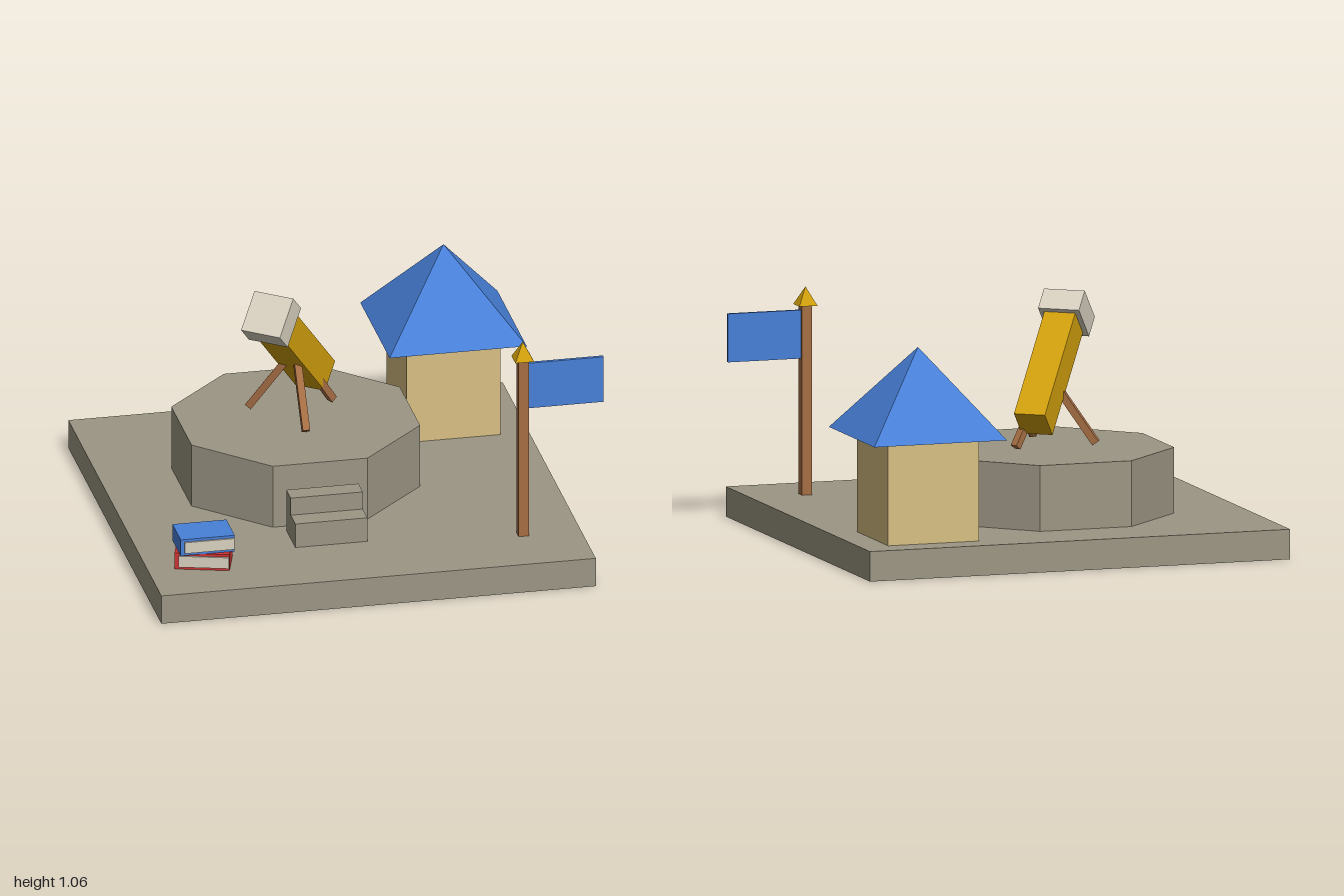
import * as THREE from 'three';

const mat = (name, color, side = THREE.FrontSide) => {
  const m = new THREE.MeshStandardMaterial({ color, side });
  m.name = name;
  return m;
};

export function createModel() {
  const root = new THREE.Group();
  root.name = 'observatoryCourt';

  const stone = mat('stone', 0x9c9684, THREE.DoubleSide);
  const blue = mat('blue', 0x4880d8);
  const tan = mat('tan', 0xd8c084);
  const gold = mat('gold', 0xd2a00c);
  const wood = mat('wood', 0xa66e44);
  const red = mat('red', 0xd03434);
  const cream = mat('cream', 0xd8d1c0);

  const add = (name, geometry, material, x, y, z, parent = root) => {
    const mesh = new THREE.Mesh(geometry, material);
    mesh.name = name;
    mesh.position.set(x, y, z);
    parent.add(mesh);
    return mesh;
  };
  const box = (name, material, w, h, d, x, y, z, parent) =>
    add(name, new THREE.BoxGeometry(w, h, d), material, x, y, z, parent);
  // Four-sided pyramid with a base of width w standing at height y
  const pyramid = (name, material, w, h, x, y, z) => {
    const g = new THREE.ConeGeometry(w / Math.SQRT2, h, 4, 1).rotateY(Math.PI / 4).toNonIndexed();
    g.computeVertexNormals();
    return add(name, g, material, x, y + h / 2, z);
  };

  // Ground slab, hollow underneath (bottom face removed)
  const slab = new THREE.BoxGeometry(1.9, 0.13, 1.9);
  const faces = Array.from(slab.index.array);
  faces.splice(18, 6);
  slab.setIndex(faces);
  slab.clearGroups();
  add('groundSlab', slab, stone, -0.05, 0.065, 0);

  // Octagonal platform and its two steps
  const cx = -0.175, cz = -0.16;
  const octagon = new THREE.CylinderGeometry(0.541, 0.541, 0.285, 8)
    .rotateY(Math.PI / 8).toNonIndexed();
  octagon.computeVertexNormals();
  add('platform', octagon, stone, cx, 0.2725, cz);
  box('lowerStep', stone, 0.315, 0.11, 0.095, cx, 0.185, 0.5225);
  box('upperStep', stone, 0.315, 0.19, 0.09, cx, 0.225, 0.43);

  // Hut with pyramid roof
  box('hutWalls', tan, 0.41, 0.445, 0.41, 0.57, 0.3525, -0.62);
  pyramid('hutRoof', blue, 0.6, 0.375, 0.57, 0.575, -0.62);

  // Flagpole
  box('flagPole', wood, 0.045, 0.825, 0.045, 0.648, 0.5425, 0.635);
  pyramid('poleFinial', gold, 0.082, 0.08, 0.648, 0.95, 0.635);
  box('flag', blue, 0.33, 0.21, 0.015, 0.835, 0.825, 0.635);

  // Stacked books with page blocks showing at the front
  const book = (name, material, y, turn) => {
    const g = new THREE.Group();
    g.name = name;
    g.position.set(-0.748, y, 0.635);
    g.rotation.y = turn;
    box('cover', material, 0.236, 0.075, 0.17, 0, 0, 0, g);
    box('pages', cream, 0.217, 0.051, 0.009, 0.0075, 0, 0.088, g);
    root.add(g);
  };
  book('lowerBook', red, 0.1675, -0.29);
  book('upperBook', blue, 0.2425, 0);

  // Telescope, built along its own +z and aimed up, forward and to the side
  const scope = new THREE.Group();
  scope.name = 'telescope';
  scope.position.set(-0.056, 0.538, -0.315);
  scope.lookAt(-0.345, 0.997, 0.05);
  box('tube', gold, 0.14, 0.14, 0.56, 0, 0, 0.28, scope);
  box('lensHood', cream, 0.185, 0.185, 0.105, 0, 0, 0.6, scope);
  root.add(scope);

  // Tripod legs spread evenly around the platform centre
  for (let i = 0; i < 3; i++) {
    const pivot = new THREE.Group();
    pivot.name = 'tripodLeg' + (i + 1);
    pivot.position.set(cx, 0, cz);
    pivot.rotation.y = (i * Math.PI * 2) / 3;
    const leg = box('leg', wood, 0.032, Math.hypot(0.21, 0.295), 0.032, 0, 0.5825, 0.105, pivot);
    leg.rotation.x = -Math.atan2(0.21, 0.295);
    root.add(pivot);
  }

  return root;
}
